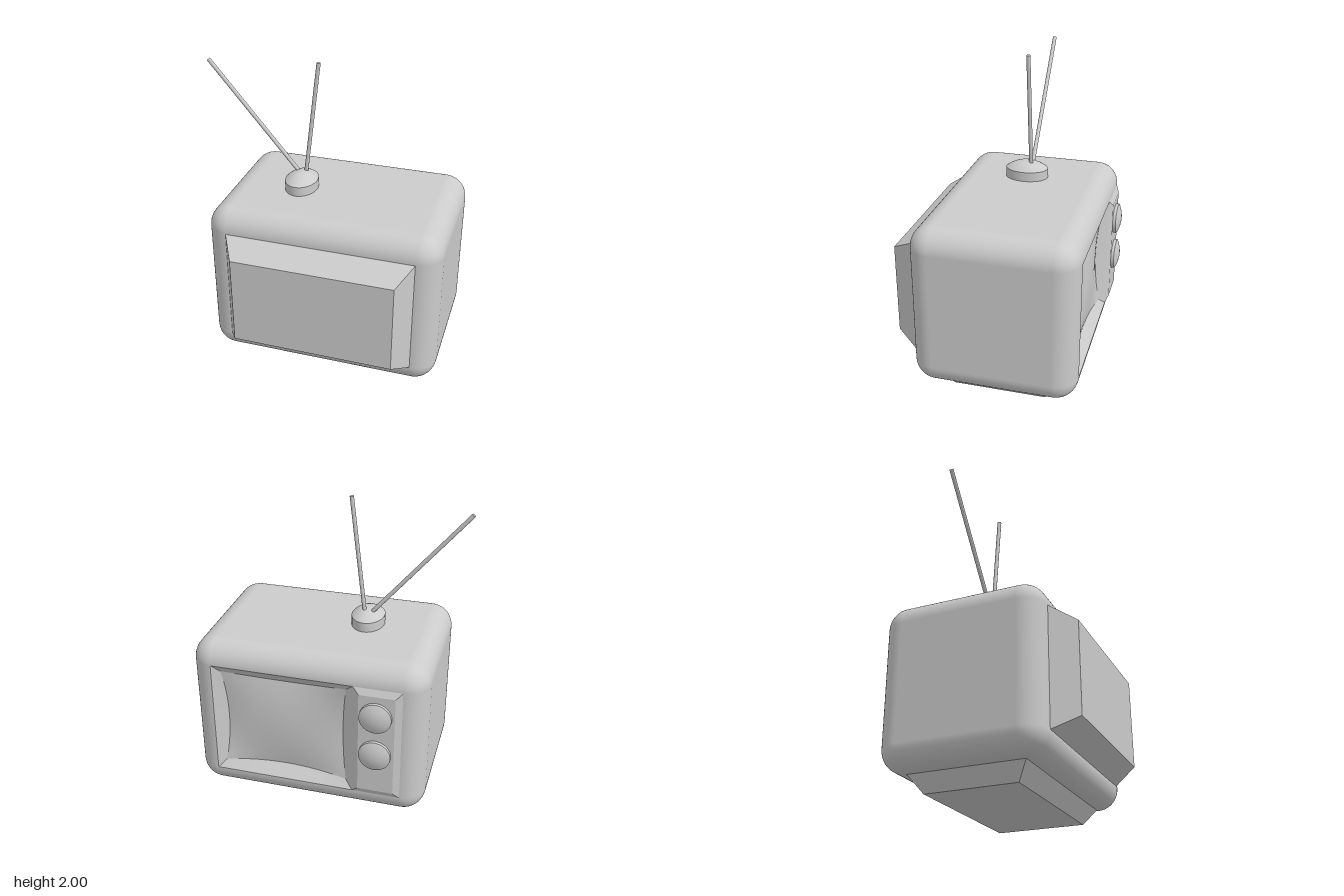
import * as THREE from 'three';
import { RoundedBoxGeometry } from 'three/addons/geometries/RoundedBoxGeometry.js';
import { toCreasedNormals } from 'three/addons/utils/BufferGeometryUtils.js';

const grey = new THREE.MeshStandardMaterial({ color: 0xcccccc });

// Cabinet extents, edge radius and the plane of the screen side
const MIN = [-0.677, 0.105, -0.56], MAX = [0.815, 1.16, 0.475], R = 0.143;
const Z0 = MIN[2];
const X0 = MIN[0] + R, X1 = MAX[0] - R, Y0 = MIN[1] + R, Y1 = MAX[1] - R;
const SPLIT = -0.23; // border between the screen and the control panel

function add(parent, name, geometry) {
  const mesh = new THREE.Mesh(geometry, grey);
  mesh.name = name;
  parent.add(mesh);
  return mesh;
}

// Moves every vertex by a rule and recomputes the normals
function reshape(geometry, rule) {
  const pos = geometry.attributes.position;
  for (let i = 0; i < pos.count; i++) {
    pos.setXYZ(i, ...rule(pos.getX(i), pos.getY(i), pos.getZ(i)));
  }
  geometry.computeVertexNormals();
  return geometry;
}

// Box between two corners, narrowed by an inset at one end of an axis
function taperedBox(min, max, axis, sign, inset) {
  return reshape(new THREE.BoxGeometry(2, 2, 2), (...p) =>
    p.map((s, k) => {
      const cut = k !== axis && p[axis] * sign > 0 ? inset : 0;
      return (min[k] + max[k]) / 2 + s * ((max[k] - min[k]) / 2 - cut);
    }));
}

// Short cylinder capped by a shallow dome, standing on y = 0
function domedDisc(radius, wall, dome) {
  const profile = [new THREE.Vector2(radius, 0)];
  for (let i = 0; i <= 8; i++) {
    const a = (i / 8) * Math.PI / 2;
    // Flattened arc so that the rim stays sharp
    profile.push(new THREE.Vector2(radius * Math.cos(a), wall + dome * (1 - Math.cos(a) ** 2)));
  }
  return toCreasedNormals(new THREE.LatheGeometry(profile, 32), 0.6);
}

// Rounded cabinet without the flat area that the screen and panel fill
function cabinetGeometry() {
  const size = MAX.map((m, k) => m - MIN[k]);
  const box = new RoundedBoxGeometry(...size, 6, R);
  box.translate(...MAX.map((m, k) => (m + MIN[k]) / 2));
  const pos = box.attributes.position, nor = box.attributes.normal;
  const p = [], n = [];
  for (let i = 0; i < pos.count; i += 3) {
    if ([0, 1, 2].every((j) => pos.getZ(i + j) < Z0 + 1e-4)) continue;
    for (let j = i; j < i + 3; j++) {
      p.push(pos.getX(j), pos.getY(j), pos.getZ(j));
      n.push(nor.getX(j), nor.getY(j), nor.getZ(j));
    }
  }
  const geo = new THREE.BufferGeometry();
  geo.setAttribute('position', new THREE.Float32BufferAttribute(p, 3));
  geo.setAttribute('normal', new THREE.Float32BufferAttribute(n, 3));
  return geo;
}

// Sunken screen with bowed edges; u and v run from -1 to 1
const cx = (SPLIT + X1) / 2, cy = (Y0 + Y1) / 2;
const hx = (X1 - SPLIT) / 2, hy = (Y1 - Y0) / 2;
function screenPoint(u, v) {
  const bulge = 0.03 * (1 - u * u) * (1 - v * v);
  return [
    cx + u * (hx - 0.05 - 0.025 * (1 - v * v)),
    cy + v * (hy - 0.05 - 0.025 * (1 - u * u)),
    Z0 + 0.035 + 0.03 * (1 - u * u * v * v) - bulge,
  ];
}

function createScreen() {
  const group = new THREE.Group();
  group.name = 'screen';
  add(group, 'screenGlass', reshape(new THREE.PlaneGeometry(2, 2, 16, 16),
    (x, y) => screenPoint(-x, y)));
  // Four sloping walls from the cabinet surface to the glass
  for (let k = 0; k < 4; k++) {
    const c = Math.round(Math.cos(k * Math.PI / 2)), s = Math.round(Math.sin(k * Math.PI / 2));
    add(group, 'screenBezel', reshape(new THREE.PlaneGeometry(2, 2, 16, 1), (x, y) => {
      const u = -x * c - s, v = -x * s + c;
      return y > 0 ? [cx + u * hx, cy + v * hy, Z0] : screenPoint(u, v);
    }));
  }
  return group;
}

// Thin rod between two points
function rod(parent, name, from, to) {
  const a = new THREE.Vector3(...from), b = new THREE.Vector3(...to);
  const dir = b.clone().sub(a);
  const mesh = add(parent, name, new THREE.CylinderGeometry(0.013, 0.013, dir.length(), 12));
  mesh.position.copy(a).add(b).multiplyScalar(0.5);
  mesh.quaternion.setFromUnitVectors(new THREE.Vector3(0, 1, 0), dir.normalize());
}

export function createModel() {
  const model = new THREE.Group();
  model.name = 'television';

  add(model, 'cabinet', cabinetGeometry());
  add(model, 'tubeHousing', taperedBox([X0, Y0, MAX[2] - 0.005], [X1, Y1, 0.63], 2, 1, 0.09));
  add(model, 'foot', taperedBox([X0, 0, -0.41], [X1, 0.107, 0.335], 1, -1, 0.076));
  model.add(createScreen());

  // Raised control panel with two knobs
  add(model, 'controlPanel', taperedBox([X0, Y0, -0.58], [SPLIT, Y1, Z0], 2, -1, 0.04));
  for (const y of [0.835, 0.565]) {
    const knob = add(model, 'knob', domedDisc(0.1, 0.02, 0.025));
    knob.rotation.x = -Math.PI / 2;
    knob.position.set(-0.377, y, -0.58);
  }

  // Oval aerial base and two rods
  const base = add(model, 'aerialBase', domedDisc(0.105, 0.065, 0.05));
  base.scale.z = 1.33;
  base.position.set(-0.19, 1.157, -0.008);
  rod(model, 'longAerial', [-0.205, 1.235, -0.04], [-0.806, 1.948, -0.04]);
  rod(model, 'uprightAerial', [-0.174, 1.235, -0.04], [-0.083, 1.998, -0.04]);

  return model;
}
